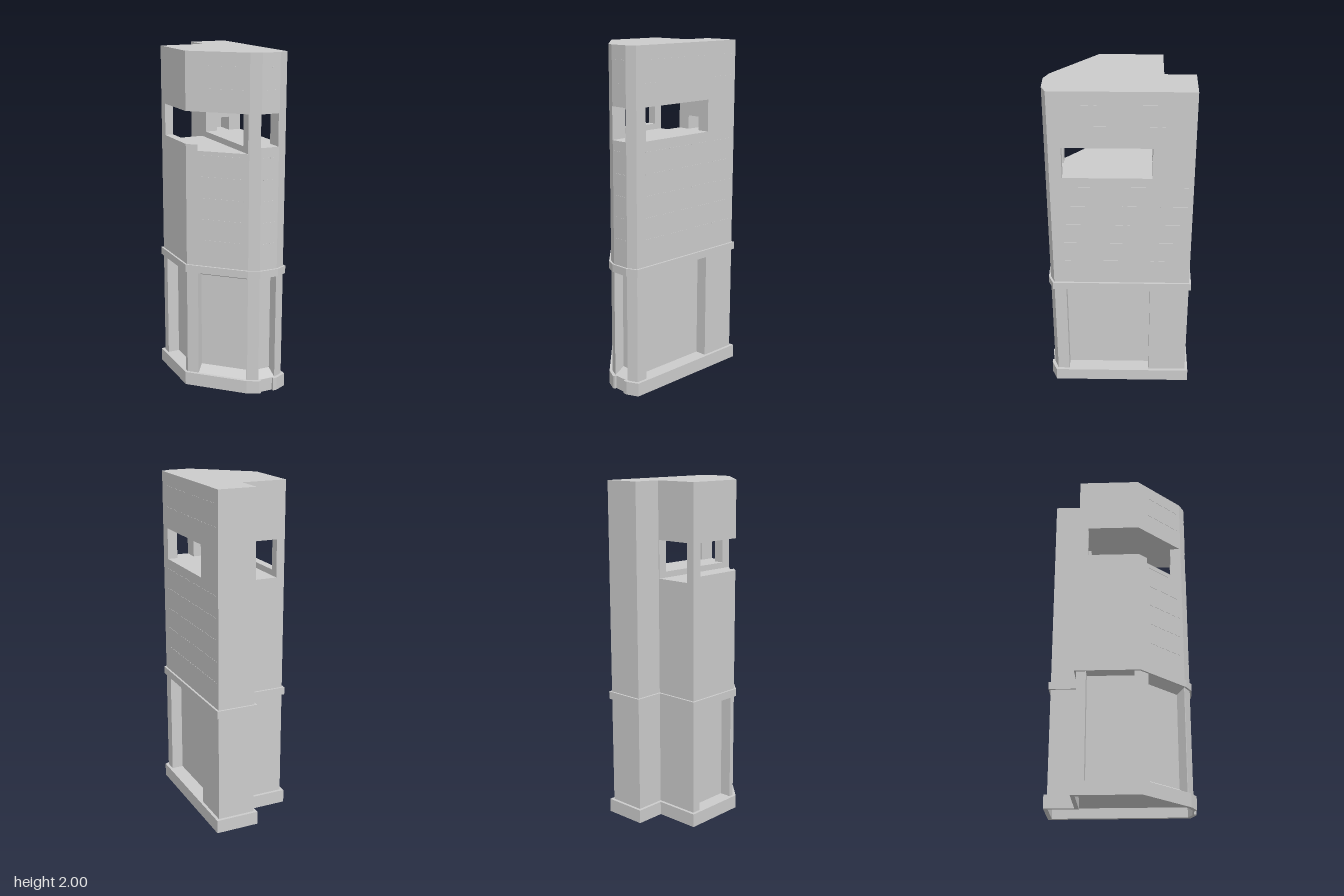
import * as THREE from 'three';

const material = new THREE.MeshStandardMaterial({ color: 0xcccccc, flatShading: true, side: THREE.DoubleSide });

// Plan of the tower as [x, z] corners
const PLAN = [
  [0.02, -0.415], [0.245, -0.415], [0.245, 0.385], [0.19, 0.41], [0.08, 0.41],
  [0.02, 0.38], [-0.25, 0.12], [-0.25, -0.24], [0.02, -0.24],
];
const diagonalZ = (x) => 0.12 + (x + 0.25) * (0.26 / 0.27);

// Plan grown outward by d with mitred corners
function offset(points, d) {
  const n = points.length;
  const normal = (a, b) => {
    const l = Math.hypot(b[0] - a[0], b[1] - a[1]);
    return [(b[1] - a[1]) / l, -(b[0] - a[0]) / l];
  };
  return points.map((p, i) => {
    const u = normal(points[(i + n - 1) % n], p);
    const v = normal(p, points[(i + 1) % n]);
    const k = d / (1 + u[0] * v[0] + u[1] * v[1]);
    return [p[0] + (u[0] + v[0]) * k, p[1] + (u[1] + v[1]) * k];
  });
}

const toVectors = (points) => points.map(([x, z]) => new THREE.Vector2(x, z));

export function createModel() {
  const model = new THREE.Group();

  function add(name, geometry) {
    const mesh = new THREE.Mesh(geometry, material);
    mesh.name = name;
    model.add(mesh);
    return mesh;
  }

  // Upright prism over a plan, between two heights
  function prism(name, points, y0, y1, hole) {
    const shape = new THREE.Shape(toVectors(points));
    if (hole) shape.holes.push(new THREE.Path(toVectors(hole)));
    const geometry = new THREE.ExtrudeGeometry(shape, { depth: y1 - y0, bevelEnabled: false });
    add(name, geometry.rotateX(Math.PI / 2).translate(0, y1, 0));
  }

  // Base: slab over a hollow skirt with a small notch in its front
  const skirt = offset(PLAN, 0.018);
  const front = skirt[3][1];
  const notched = [...skirt];
  notched.splice(4, 0, [0.17, front], [0.17, front - 0.015], [0.09, front - 0.015], [0.09, front]);
  prism('baseSkirt', notched, 0, 0.06, offset(PLAN, -0.006));
  prism('baseSlab', notched, 0.06, 0.08);

  // Lower storey with recessed panels between pillars
  const a = [0.015, diagonalZ(0.015)], b = [-0.2, diagonalZ(-0.2)];
  const inward = ([x, z]) => [x + 0.0415, z - 0.043];
  const lower = [
    PLAN[0], PLAN[1],
    [0.245, -0.185], [0.175, -0.185], [0.175, 0.315], [0.245, 0.315],
    PLAN[2], [0.187, 0.41], [0.185, 0.345], [0.08, 0.345], PLAN[4],
    PLAN[5], a, inward(a), inward(b), b, PLAN[6],
    [-0.25, 0.09], [-0.18, 0.09], [-0.18, -0.185], [-0.25, -0.185],
    PLAN[7], PLAN[8],
  ];
  prism('lowerStorey', lower, 0.08, 0.72);

  // Sloped sills and heads of the two front recesses
  function slope(name, p, q, pin, qin, yOuter, yInner) {
    const geometry = new THREE.BufferGeometry();
    const corners = [[p, yOuter], [q, yOuter], [qin, yInner], [pin, yInner]];
    geometry.setAttribute('position', new THREE.Float32BufferAttribute(
      corners.flatMap(([[x, z], y]) => [x, y, z]), 3));
    geometry.setIndex(yInner > yOuter ? [0, 1, 2, 0, 2, 3] : [0, 2, 1, 0, 3, 2]);
    geometry.computeVertexNormals();
    add(name, geometry);
  }
  const recesses = [
    [[0.08, 0.41], [0.187, 0.41], [0.08, 0.345], [0.185, 0.345]],
    [b, a, inward(b), inward(a)],
  ];
  for (const r of recesses) {
    slope('recessSill', ...r, 0.08, 0.115);
    slope('recessHead', ...r, 0.72, 0.69);
  }

  // Band between the storeys
  prism('band', offset(PLAN, 0.012), 0.72, 0.765);

  // Upper storey: solid shaft, open lookout level, solid head
  prism('shaft', PLAN, 0.765, 1.445);
  const leftStrip = [[-0.25, -0.24], [-0.2, -0.24], b, PLAN[6]];
  const rightBlock = [PLAN[0], PLAN[1], PLAN[2], PLAN[3], PLAN[4], PLAN[5], a, [0.015, -0.24], PLAN[8]];
  prism('lookoutSill', leftStrip, 1.445, 1.48);
  prism('lookoutSill', rightBlock, 1.445, 1.48);

  const backTop = [PLAN[0], PLAN[1], [0.245, -0.185], [0.015, -0.185], [0.015, -0.24], PLAN[8]];
  const backNiche = [...backTop];
  backNiche.splice(3, 0, [0.17, -0.185], [0.17, -0.3], [0.09, -0.3], [0.09, -0.185]);
  prism('lookoutBackWall', backNiche, 1.48, 1.56);
  prism('lookoutBackWall', backTop, 1.56, 1.667);
  prism('lookoutBackPost', [[-0.25, -0.24], [-0.2, -0.24], [-0.2, -0.185], [-0.25, -0.185]], 1.48, 1.667);
  prism('lookoutFrontPost', [[0.015, 0.315], [0.077, 0.315], [0.077, 0.4085], PLAN[5], a], 1.48, 1.667);
  prism('lookoutFrontPost', [[0.185, 0.315], [0.245, 0.315], PLAN[2], PLAN[3], [0.185, 0.41]], 1.48, 1.667);
  prism('head', PLAN, 1.667, 2);

  // Fine horizontal seams in the cladding, as dashes from p to q
  function seams(p, q, y, count) {
    const dx = q[0] - p[0], dz = q[1] - p[1], step = Math.hypot(dx, dz) / count;
    for (let i = 0; i < count; i++) {
      const t = (i + 0.5) / count;
      const seam = add('claddingSeam', new THREE.BoxGeometry(step * 0.85, 0.005, 0.003));
      seam.position.set(p[0] + dx * t, y, p[1] + dz * t);
      seam.rotation.y = Math.atan2(-dz, dx);
    }
  }
  for (const y of [0.92, 1.045, 1.17, 1.295, 1.42, 1.795, 1.92]) {
    seams([0.245, -0.4], [0.245, 0.33], y, 4);
    seams([0.09, 0.41], [0.18, 0.41], y, 2);
    seams(b, a, y, 1);
  }

  return model;
}
